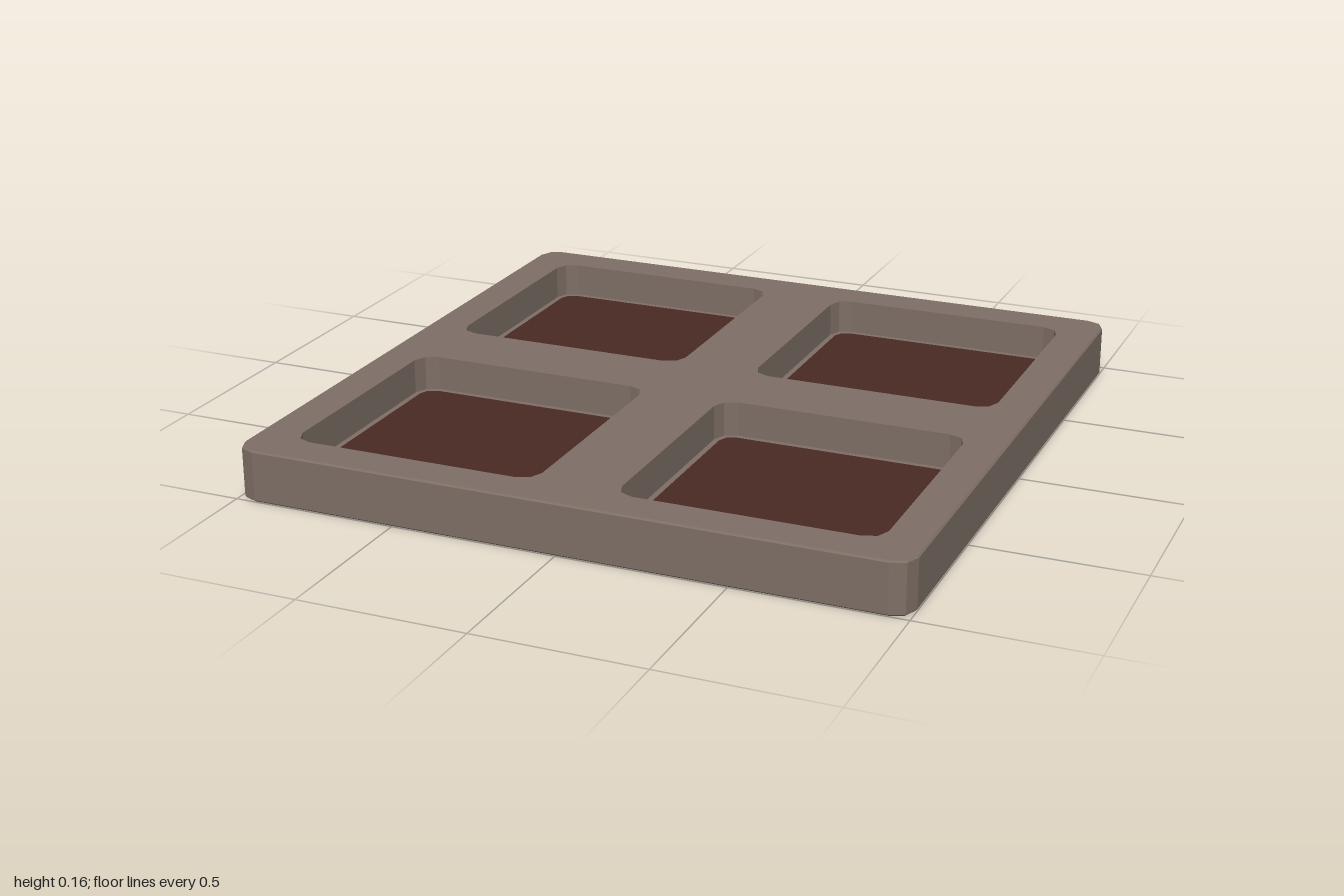
import * as THREE from 'three';

const H = 0.155, FLOOR = 0.05, BEVEL = 0.005;

// Rounded square outline, counter-clockwise seen from above, two facets per corner
function outline(half, r, cx = 0, cy = 0) {
  const pts = [];
  for (let c = 0; c < 4; c++) {
    const mid = Math.PI / 4 + c * Math.PI / 2;
    const ox = cx + Math.sign(Math.cos(mid)) * (half - r);
    const oy = cy + Math.sign(Math.sin(mid)) * (half - r);
    for (let s = 0; s <= 2; s++) {
      const a = c * Math.PI / 2 + s * Math.PI / 4;
      pts.push(new THREE.Vector2(ox + r * Math.cos(a), oy + r * Math.sin(a)));
    }
  }
  return pts;
}

// Wall through stacked outlines: bottom-up faces outwards, top-down faces inwards
function loft(rings) {
  const pos = [];
  const add = ([pts, y], i) => {
    const p = pts[i % pts.length];
    pos.push(p.x, y, -p.y);
  };
  for (let k = 0; k + 1 < rings.length; k++) {
    const a = rings[k], b = rings[k + 1];
    for (let i = 0; i < a[0].length; i++) {
      add(a, i); add(a, i + 1); add(b, i + 1);
      add(a, i); add(b, i + 1); add(b, i);
    }
  }
  const g = new THREE.BufferGeometry();
  g.setAttribute('position', new THREE.Float32BufferAttribute(pos, 3));
  g.computeVertexNormals();
  return g;
}

// Horizontal face, optionally with holes
function sheet(pts, y, holes = [], down = false) {
  const shape = new THREE.Shape(pts);
  shape.holes = holes.map((h) => new THREE.Path(h));
  return new THREE.ShapeGeometry(shape).rotateX(down ? Math.PI / 2 : -Math.PI / 2).translate(0, y, 0);
}

export function createModel() {
  const root = new THREE.Group();
  root.name = 'tray';
  const frameMat = new THREE.MeshStandardMaterial({ color: 0x7d6e65 });
  const panelMat = new THREE.MeshStandardMaterial({ color: 0x4a2923 });
  const add = (parent, name, geometry, material) => {
    const mesh = new THREE.Mesh(geometry, material);
    mesh.name = name;
    parent.add(mesh);
  };

  // Outer body with a fine bevel at top and bottom
  const outer = outline(1, 0.06), inner = outline(1 - BEVEL, 0.06 - BEVEL);
  const centres = [[-0.5, -0.5], [0.5, -0.5], [-0.5, 0.5], [0.5, 0.5]];
  const openings = centres.map(([x, y]) => outline(0.38, 0.055, x, y));
  add(root, 'outerWall', loft([[inner, 0], [outer, BEVEL], [outer, H - BEVEL], [inner, H]]), frameMat);
  add(root, 'topFrame', sheet(inner, H, openings), frameMat);
  add(root, 'underside', sheet(inner, 0, [], true), frameMat);

  // Four recessed pockets, each with a narrow ledge around a dark floor
  centres.forEach(([x, y], i) => {
    const pocket = new THREE.Group();
    pocket.name = 'pocket' + (i + 1);
    const panel = outline(0.363, 0.04, x, y);
    add(pocket, 'pocketWall', loft([[openings[i], H], [openings[i], FLOOR]]), frameMat);
    add(pocket, 'pocketLedge', loft([[openings[i], FLOOR], [panel, FLOOR]]), frameMat);
    add(pocket, 'pocketFloor', sheet(panel, FLOOR), panelMat);
    root.add(pocket);
  });
  return root;
}
